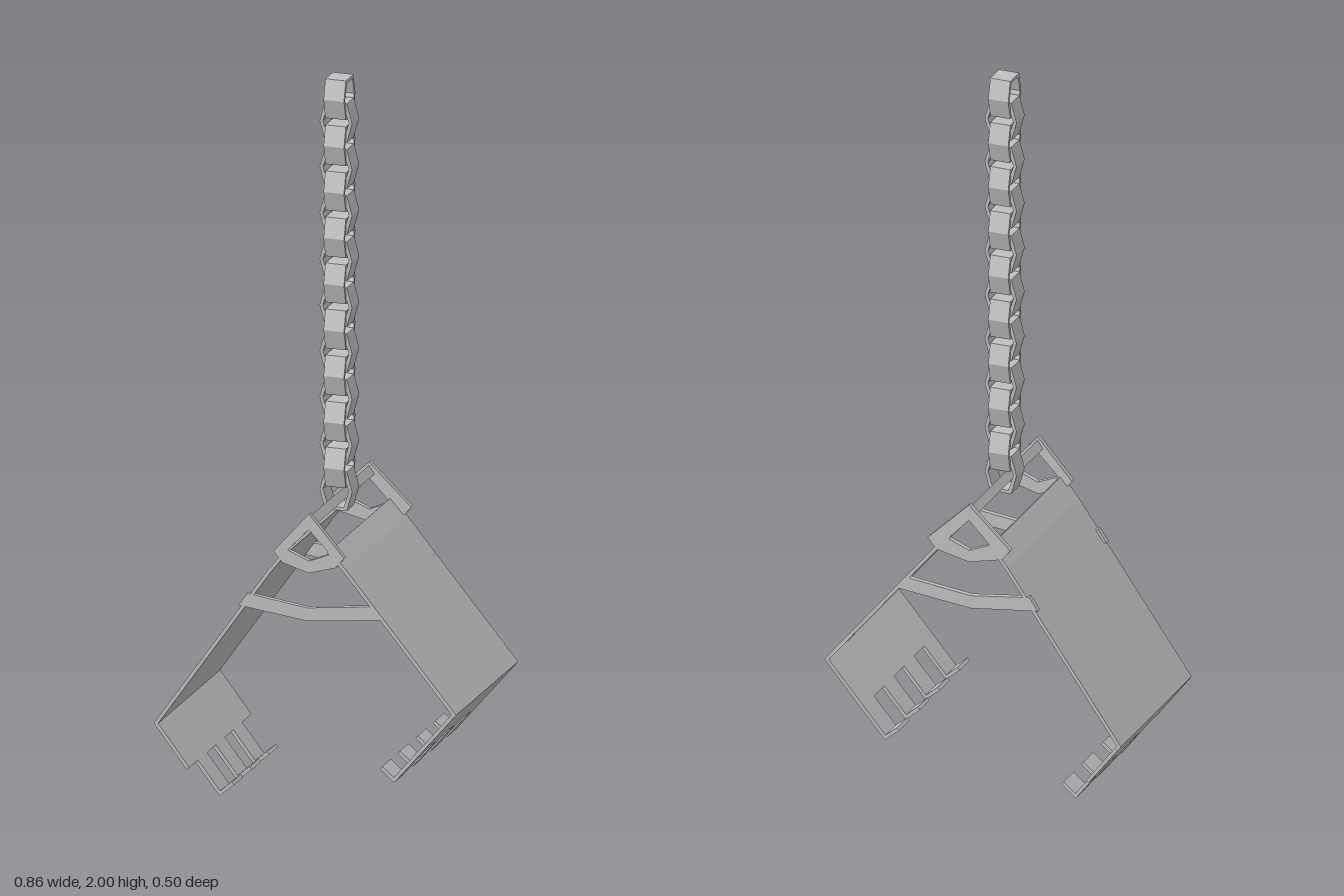
import * as THREE from 'three';

const steel = new THREE.MeshStandardMaterial({ color: 0xbfbfbf });
steel.name = 'steel grey';

const CX = 0.01; // centre line of the chain and frame

// Extrudes a shape from z0 to z1 as a named mesh
function slab(name, shape, z0, z1) {
  const geo = new THREE.ExtrudeGeometry(shape, { depth: z1 - z0, bevelEnabled: false });
  geo.translate(0, 0, z0);
  const mesh = new THREE.Mesh(geo, steel);
  mesh.name = name;
  return mesh;
}

const toShape = (pts) => new THREE.Shape(pts.map(([x, y]) => new THREE.Vector2(x, y)));

// Outline of a bent sheet of thickness t with mitred corners
function bentSheet(pts, t = 0.01) {
  const p = pts.map(([x, y]) => new THREE.Vector2(x, y));
  const normals = p.slice(1).map((b, i) => {
    const d = b.clone().sub(p[i]).normalize();
    return new THREE.Vector2(-d.y, d.x);
  });
  const offsets = p.map((_, i) => {
    const a = normals[Math.max(i - 1, 0)];
    const b = normals[Math.min(i, normals.length - 1)];
    return a.clone().add(b).multiplyScalar(t / 2 / (1 + a.dot(b)));
  });
  const side = p.map((v, i) => v.clone().add(offsets[i]));
  const other = p.map((v, i) => v.clone().sub(offsets[i])).reverse();
  return new THREE.Shape([...side, ...other]);
}

// Bent jaw plate ending in hooked teeth
function makeJaw(name, plate, tooth, toothRanges) {
  const jaw = new THREE.Group();
  jaw.name = name;
  jaw.add(slab('jawPlate', bentSheet(plate), -0.25, 0.25));
  for (const [z0, z1] of toothRanges) jaw.add(slab('jawTooth', bentSheet(tooth), z0, z1));
  return jaw;
}

// Six-sided chain link, open through the middle
function makeLink(y, turned) {
  const h = 0.055;
  const loop = (k) => [
    [-0.031 + k, h - k], [-0.046 + k, 0], [-0.031 + k, -h + k],
    [0.031 - k, -h + k], [0.046 - k, 0], [0.031 - k, h - k],
  ];
  const shape = toShape(loop(0));
  shape.holes.push(toShape(loop(0.009)));
  const link = slab('chainLink', shape, -0.029, 0.029);
  link.position.y = y;
  if (turned) link.rotation.y = Math.PI / 2;
  return link;
}

// Kite-shaped end bracket with a window
function makeBracket(z0, z1, w) {
  const shape = toShape([
    [0, 0.845], [-w, 0.73], [-w + 0.025, 0.7], [0, 0.678], [w - 0.025, 0.7], [w, 0.73],
  ]);
  shape.holes.push(toShape([[0, 0.8], [-0.06, 0.737], [0, 0.712], [0.06, 0.737]]));
  const bracket = slab('endBracket', shape, z0, z1);
  bracket.position.x = CX;
  return bracket;
}

export function createModel() {
  const model = new THREE.Group();
  model.name = 'chainGrabber';

  // Chain of alternating links
  const chain = new THREE.Group();
  chain.name = 'chain';
  chain.position.set(CX, 0, 0.003);
  for (let i = 0; i < 18; i++) chain.add(makeLink(1.945 - i * 0.0647, i % 2 === 0));
  model.add(chain);

  // Frame: ridged top bar, end brackets and bent braces
  const bar = slab('topBar', toShape([[-0.015, 0.812], [0.015, 0.812], [0, 0.835]]), -0.236, 0.236);
  bar.position.x = CX;
  model.add(bar, makeBracket(0.235, 0.25, 0.1), makeBracket(-0.25, -0.235, 0.12));
  const brace = toShape([
    [-0.19, 0.567], [0.005, 0.543], [0.218, 0.567], [0.195, 0.603], [0.005, 0.58], [-0.165, 0.603],
  ]);
  for (const z of [-0.25, 0.235]) model.add(slab('crossBrace', brace, z, z + 0.015));

  // Right jaw with three teeth
  model.add(makeJaw('rightJaw',
    [[-0.052, 0.735], [-0.1, 0.675], [-0.424, 0.21], [-0.333, 0.092]],
    [[-0.333, 0.092], [-0.268, 0.008], [-0.23, 0.04]],
    [-0.14, 0, 0.143].map((z) => [z - 0.036, z + 0.036])));

  // Left jaw with four teeth that mesh with the other three
  model.add(makeJaw('leftJaw',
    [[0.066, 0.745], [0.11, 0.697], [0.422, 0.323], [0.318, 0.2]],
    [[0.318, 0.2], [0.252, 0.122], [0.215, 0.153]],
    [[-0.25, -0.176], [-0.104, -0.036], [0.036, 0.107], [0.179, 0.25]]));

  return model;
}
